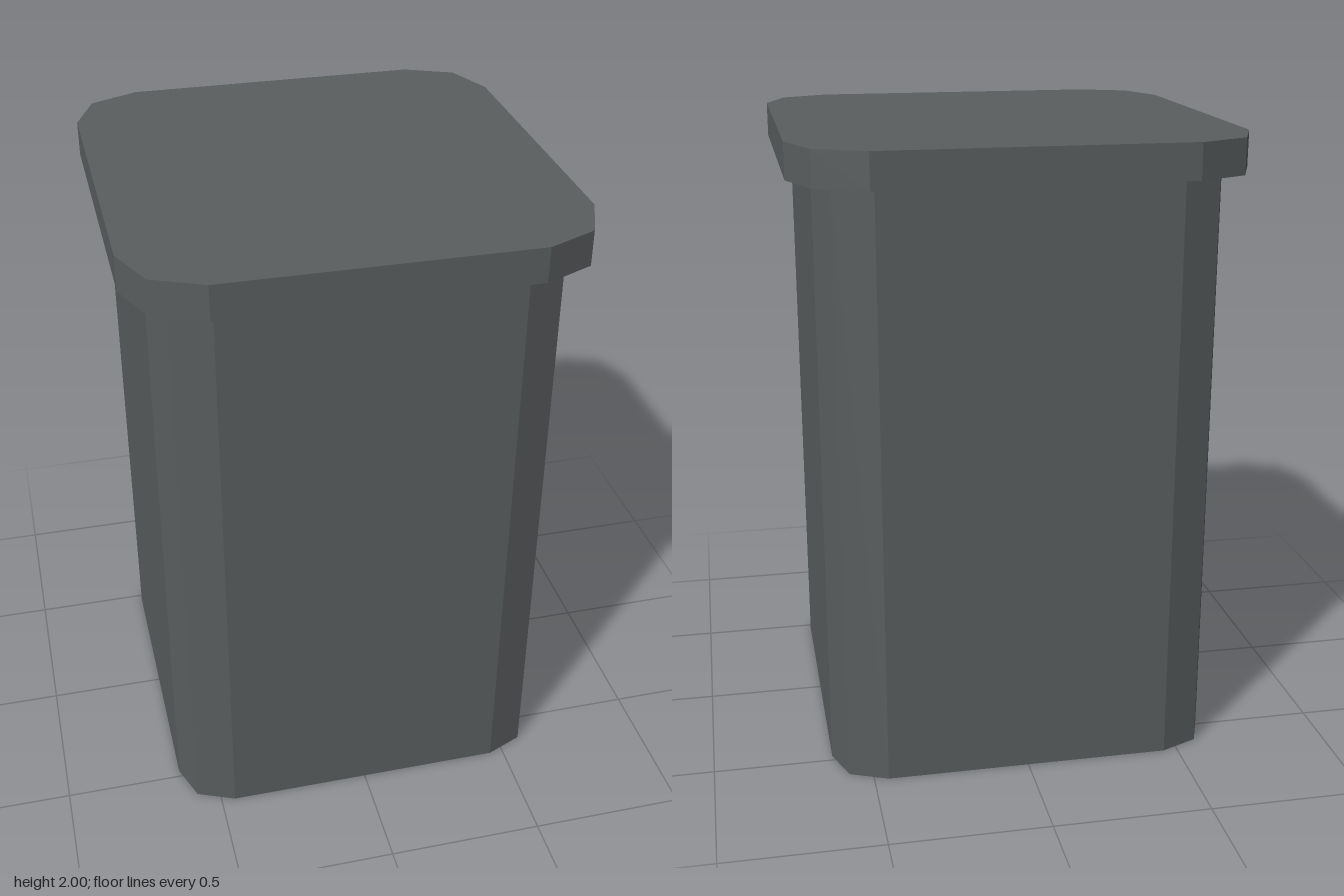
import * as THREE from 'three';

// Twelve-sided outline of a rectangle with two-step cut corners, mirrored from one quarter
function outline(quarter) {
  const mirror = (sx, sz) => quarter.map(([x, z]) => new THREE.Vector2(x * sx, z * sz));
  return [
    ...mirror(1, 1),
    ...mirror(-1, 1).reverse(),
    ...mirror(-1, -1),
    ...mirror(1, -1).reverse(),
  ];
}

// Upright wall around an outline, open at both ends
function wallGeometry(points, y0, y1) {
  const positions = [];
  points.forEach((a, i) => {
    const b = points[(i + 1) % points.length];
    positions.push(a.x, y0, a.y, a.x, y1, a.y, b.x, y1, b.y);
    positions.push(a.x, y0, a.y, b.x, y1, b.y, b.x, y0, b.y);
  });
  const geometry = new THREE.BufferGeometry();
  geometry.setAttribute('position', new THREE.Float32BufferAttribute(positions, 3));
  geometry.computeVertexNormals();
  return geometry;
}

export function createModel() {
  const group = new THREE.Group();
  group.name = 'liddedBin';

  const darkGrey = new THREE.MeshStandardMaterial({ color: 0x5a5e5f, side: THREE.DoubleSide });
  darkGrey.name = 'darkGrey';

  // Thin-walled body, hollow and open underneath
  const bodyOutline = outline([[0.62, 0.475], [0.575, 0.595], [0.455, 0.645]]);
  const body = new THREE.Mesh(wallGeometry(bodyOutline, 0, 1.89), darkGrey);
  body.name = 'body';
  group.add(body);

  // Overhanging flat lid
  const lidShape = new THREE.Shape(outline([[0.695, 0.49], [0.63, 0.65], [0.475, 0.72]]));
  const lidGeometry = new THREE.ExtrudeGeometry(lidShape, { depth: 0.11, bevelEnabled: false });
  lidGeometry.rotateX(-Math.PI / 2).translate(0, 1.89, 0);
  const lid = new THREE.Mesh(lidGeometry, darkGrey);
  lid.name = 'lid';
  group.add(lid);

  return group;
}
